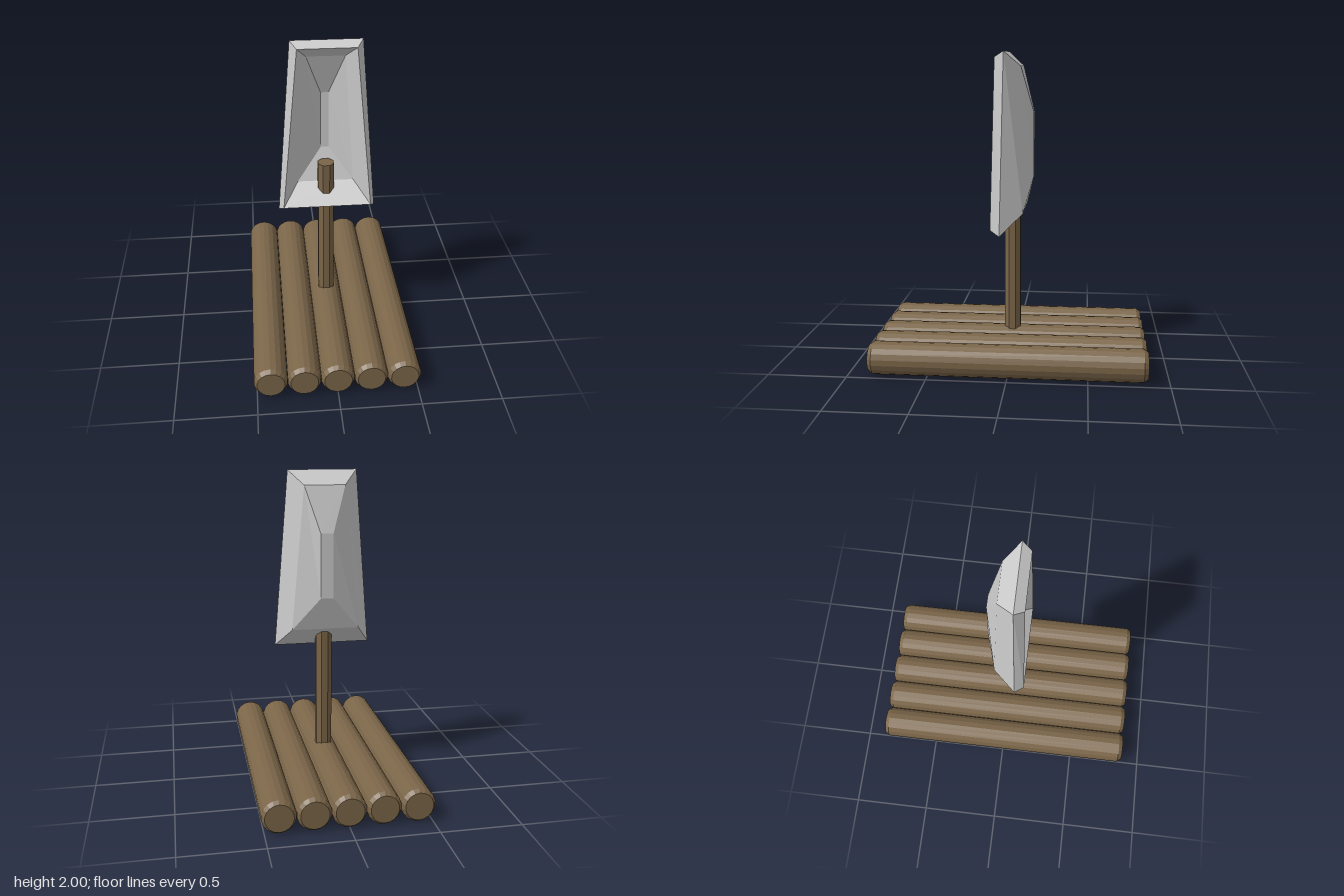
import * as THREE from 'three';

const wood = new THREE.MeshStandardMaterial({ color: 0x7a6548, flatShading: true });
const cloth = new THREE.MeshStandardMaterial({ color: 0xcccccc, flatShading: true, side: THREE.DoubleSide });

// Four corners of a trapezoid, each edge given as [half width, y, z]
function trapezoid([wb, yb, zb], [wt, yt, zt]) {
  return [[-wb, yb, zb], [wb, yb, zb], [wt, yt, zt], [-wt, yt, zt]];
}

// Closed billowing shell: trapezoid rings running from the inner panel,
// out to the bevelled rim and round to the back panel
function sailGeometry() {
  const rings = [
    trapezoid([0.025, 1.23, -0.09], [0.025, 1.61, -0.09]),
    trapezoid([0.18, 1.02, -0.02], [0.12, 1.88, -0.005]),
    trapezoid([0.28, 0.905, 0.12], [0.18, 1.965, 0.1]),
    trapezoid([0.31, 0.87, 0.06], [0.22, 2.0, 0.04]),
    trapezoid([0.215, 1.0, -0.08], [0.13, 1.91, -0.06]),
    trapezoid([0.04, 1.21, -0.137], [0.04, 1.62, -0.137]),
  ];
  const index = [0, 1, 2, 0, 2, 3];
  for (let r = 0; r < rings.length - 1; r++) {
    for (let i = 0; i < 4; i++) {
      const a = r * 4 + i, b = r * 4 + (i + 1) % 4;
      index.push(a, a + 4, b, b, a + 4, b + 4);
    }
  }
  const e = (rings.length - 1) * 4;
  index.push(e, e + 2, e + 1, e, e + 3, e + 2);
  const g = new THREE.BufferGeometry();
  g.setAttribute('position', new THREE.Float32BufferAttribute(rings.flat(2), 3));
  g.setIndex(index);
  g.computeVertexNormals();
  return g;
}

export function createModel() {
  const raft = new THREE.Group();
  raft.name = 'raft';

  // Deck of five logs with bevelled ends
  const profile = [[0, -0.867], [0.086, -0.867], [0.104, -0.84], [0.104, 0.84], [0.086, 0.867], [0, 0.867]]
    .map(([x, y]) => new THREE.Vector2(x, y));
  const logGeometry = new THREE.LatheGeometry(profile, 18).rotateX(Math.PI / 2);
  const deck = new THREE.Group();
  deck.name = 'deck';
  for (let i = -2; i <= 2; i++) {
    const log = new THREE.Mesh(logGeometry, wood);
    log.name = 'log';
    log.position.set(i * 0.207, 0.104, 0);
    deck.add(log);
  }
  raft.add(deck);

  // Eight-sided mast, standing in the middle log and piercing the sail's foot
  const mast = new THREE.Mesh(new THREE.CylinderGeometry(0.055, 0.055, 1.065, 8).rotateY(Math.PI / 8), wood);
  mast.name = 'mast';
  mast.position.y = 0.1 + 1.065 / 2;
  raft.add(mast);

  // Sail
  const sail = new THREE.Mesh(sailGeometry(), cloth);
  sail.name = 'sail';
  raft.add(sail);

  return raft;
}
